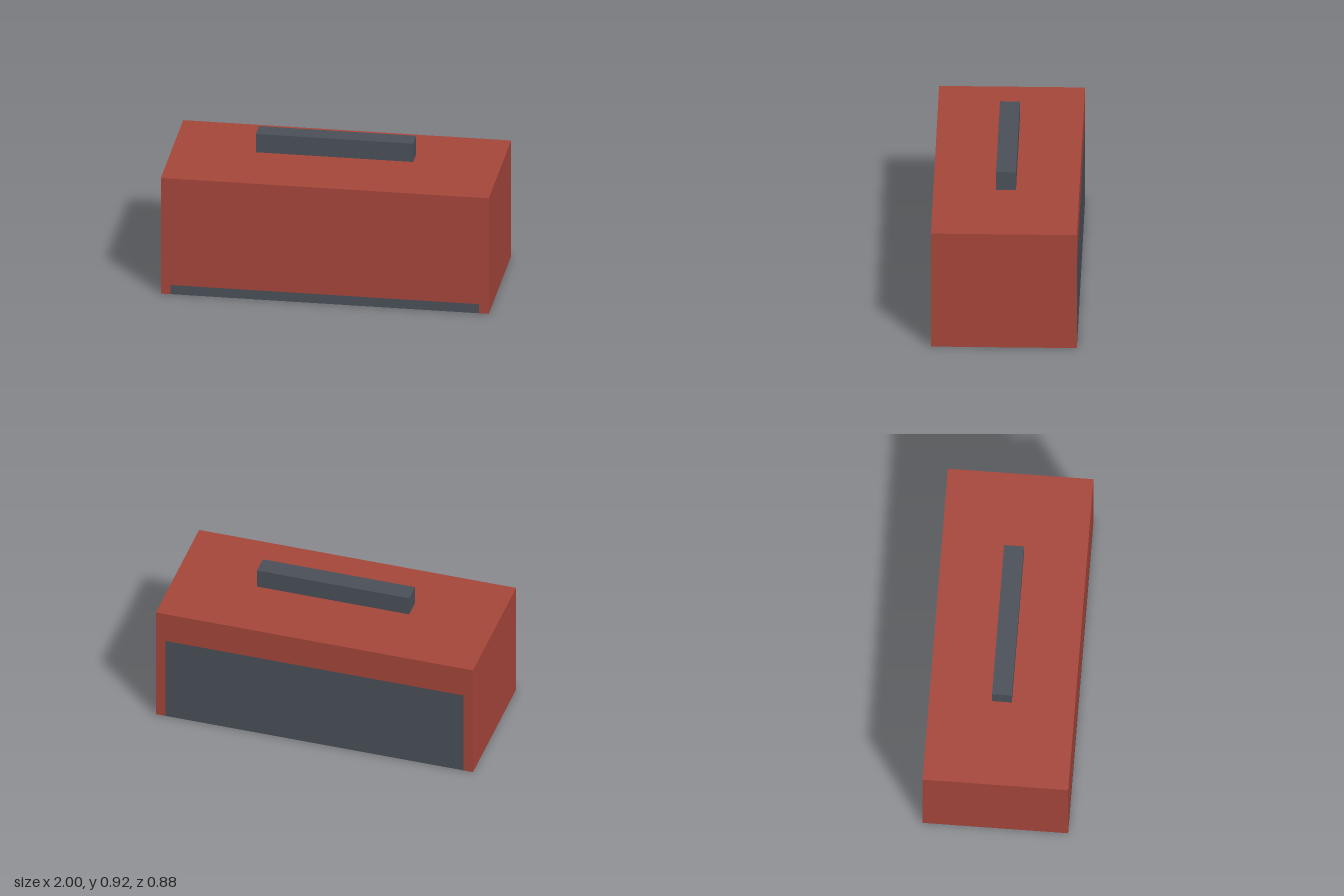
import * as THREE from 'three';

export function createModel() {
  const model = new THREE.Group();
  model.name = 'carryCase';

  const red = new THREE.MeshStandardMaterial({ name: 'brick red', color: 0xa8473c });
  const slate = new THREE.MeshStandardMaterial({ name: 'slate grey', color: 0x4c515a });

  // Box given by its lower and upper corners
  function box(name, material, [x0, y0, z0], [x1, y1, z1]) {
    const geometry = new THREE.BoxGeometry(x1 - x0, y1 - y0, z1 - z0);
    const mesh = new THREE.Mesh(geometry, material);
    mesh.position.set((x0 + x1) / 2, (y0 + y1) / 2, (z0 + z1) / 2);
    mesh.name = name;
    model.add(mesh);
  }

  const halfWidth = 1, inner = 0.94, depth = 0.44, height = 0.76;
  const baseTop = 0.06, panelTop = 0.56, panelFront = -0.38;

  // Red case: end walls, body and the lid above the back panel
  box('leftEnd', red, [inner, 0, -depth], [halfWidth, height, depth]);
  box('rightEnd', red, [-halfWidth, 0, -depth], [-inner, height, depth]);
  box('body', red, [-inner, baseTop, panelFront], [inner, panelTop, depth]);
  box('lid', red, [-inner, panelTop, -depth], [inner, height, depth]);

  // Dark base and back panel, flush with the case
  box('base', slate, [-inner, 0, -depth], [inner, baseTop, depth]);
  box('backPanel', slate, [-inner, baseTop, -depth], [inner, panelTop, panelFront]);

  // Handle bar hovering over the lid
  box('handle', slate, [-0.48, 0.8, -0.06], [0.48, 0.92, 0.06]);

  return model;
}
